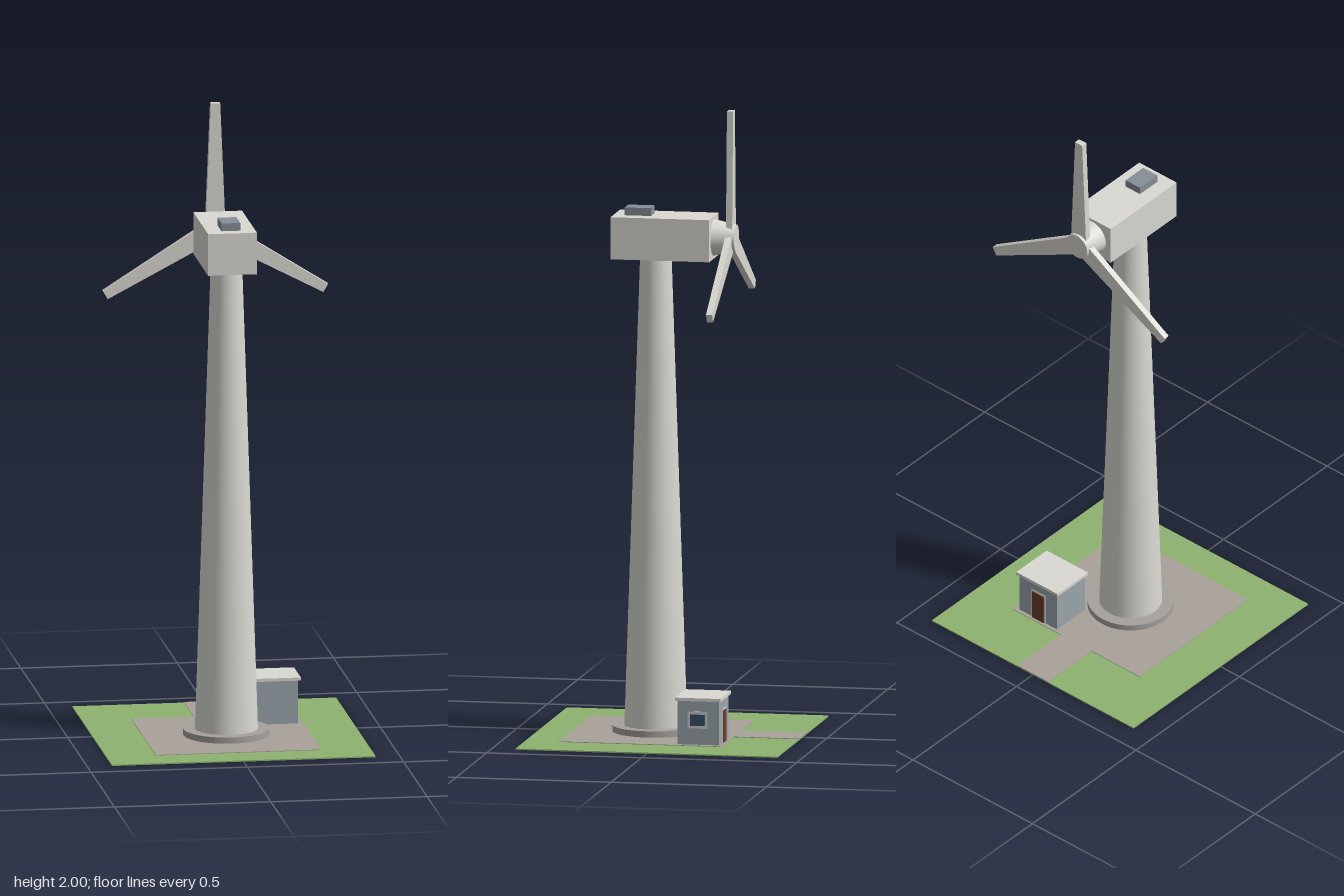
import * as THREE from 'three';

const paint = (color) => new THREE.MeshStandardMaterial({ color });
const COLORS = {
  grass: paint(0x8db26f), gravel: paint(0xa8a29a), concrete: paint(0xa5a29d),
  shell: paint(0xdad9d2), vent: paint(0x878e98), wall: paint(0x9aa6ac),
  door: paint(0x6b3d2c), frame: paint(0xe0e0dc), glass: paint(0x35506a),
};

function add(parent, name, geometry, material, x = 0, y = 0, z = 0) {
  const mesh = new THREE.Mesh(geometry, material);
  mesh.name = name;
  mesh.position.set(x, y, z);
  parent.add(mesh);
  return mesh;
}

// Box given by its extents along each axis
function block(parent, name, material, [x0, x1], [y0, y1], [z0, z1]) {
  const geometry = new THREE.BoxGeometry(x1 - x0, y1 - y0, z1 - z0);
  return add(parent, name, geometry, material, (x0 + x1) / 2, (y0 + y1) / 2, (z0 + z1) / 2);
}

// Straight blade narrowing from root to tip, growing along +y
function bladeGeometry(start, end, rootWidth, tipWidth, depth) {
  const shape = new THREE.Shape();
  shape.moveTo(-rootWidth / 2, start);
  shape.lineTo(rootWidth / 2, start);
  shape.lineTo(tipWidth / 2, end);
  shape.lineTo(-tipWidth / 2, end);
  shape.closePath();
  return new THREE.ExtrudeGeometry(shape, { depth, bevelEnabled: false }).translate(0, 0, -depth / 2);
}

export function createModel() {
  const model = new THREE.Group();
  model.name = 'windTurbine';

  // Ground, gravel yard and access path
  const site = new THREE.Group();
  site.name = 'site';
  model.add(site);
  block(site, 'grass', COLORS.grass, [-0.422, 0.422], [0, 0.004], [-0.422, 0.422]);
  block(site, 'gravelYard', COLORS.gravel, [-0.265, 0.265], [0.002, 0.006], [-0.212, 0.312]);
  block(site, 'gravelPath', COLORS.gravel, [-0.065, 0.065], [0.002, 0.006], [-0.422, -0.212]);

  // Foundation and tapered tower
  const towerZ = 0.052;
  add(model, 'foundation', new THREE.CylinderGeometry(0.137, 0.137, 0.022, 48), COLORS.concrete, 0, 0.015, towerZ);
  add(model, 'tower', new THREE.CylinderGeometry(0.05, 0.1, 1.51, 48), COLORS.shell, 0, 0.775, towerZ);

  // Nacelle with roof vent
  const nacelle = new THREE.Group();
  nacelle.name = 'nacelle';
  model.add(nacelle);
  block(nacelle, 'nacelleHousing', COLORS.shell, [-0.078, 0.078], [1.525, 1.66], [-0.135, 0.183]);
  block(nacelle, 'roofVent', COLORS.vent, [-0.03, 0.03], [1.66, 1.685], [0.062, 0.147]);

  // Rotor: conical hub and three blades
  const rotor = new THREE.Group();
  rotor.name = 'rotor';
  rotor.position.set(0, 1.593, 0);
  model.add(rotor);
  const hub = new THREE.CylinderGeometry(0.043, 0.058, 0.073, 32).rotateX(-Math.PI / 2);
  add(rotor, 'hub', hub, COLORS.shell, 0, 0, -0.1715);
  const blade = bladeGeometry(0.025, 0.407, 0.062, 0.03, 0.02);
  for (let i = 0; i < 3; i++) {
    add(rotor, 'blade', blade, COLORS.shell, 0, 0, -0.19).rotation.z = (i * Math.PI * 2) / 3;
  }

  // Service shed with flat roof
  const shed = new THREE.Group();
  shed.name = 'shed';
  model.add(shed);
  block(shed, 'shedWalls', COLORS.wall, [0.09, 0.247], [0.004, 0.147], [-0.2, -0.066]);
  block(shed, 'shedRoof', COLORS.shell, [0.082, 0.255], [0.146, 0.156], [-0.207, -0.06]);

  // Door in the back wall
  block(shed, 'doorFrame', COLORS.frame, [0.138, 0.198], [0.005, 0.115], [-0.202, -0.198]);
  block(shed, 'door', COLORS.door, [0.144, 0.192], [0.006, 0.109], [-0.204, -0.198]);

  // Window in the side wall
  block(shed, 'windowFrame', COLORS.frame, [0.244, 0.251], [0.058, 0.112], [-0.163, -0.1]);
  block(shed, 'windowPane', COLORS.glass, [0.244, 0.253], [0.067, 0.103], [-0.155, -0.108]);

  return model;
}
